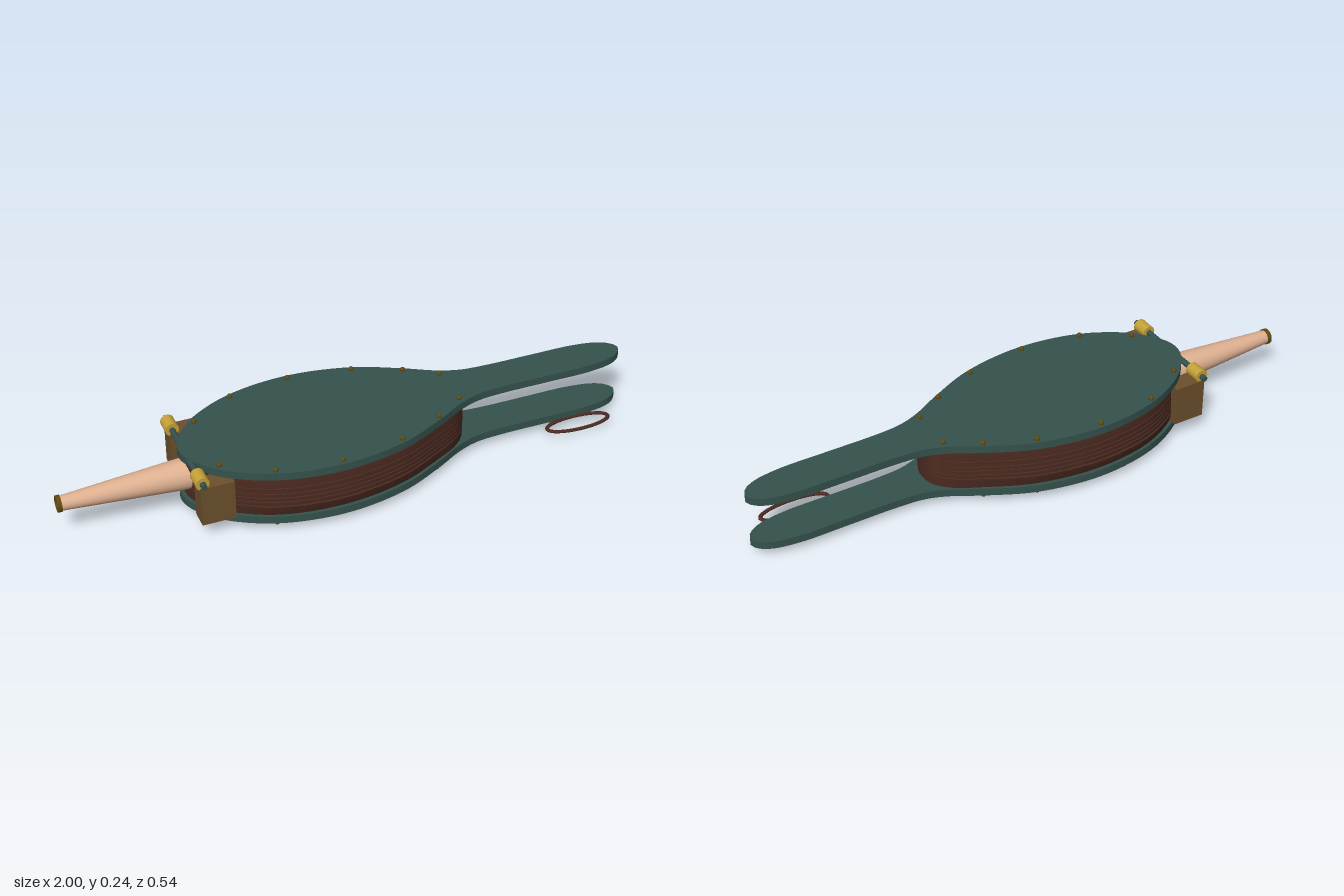
import * as THREE from 'three';
import { toCreasedNormals } from 'three/addons/utils/BufferGeometryUtils.js';

const mat = (name, color, side = THREE.FrontSide) => {
  const m = new THREE.MeshStandardMaterial({ color, side });
  m.name = name;
  return m;
};

// Smooth closed loop mirrored about z = 0; half is [x, z] from tip to tail on the axis
function mirroredLoop(half, count) {
  const other = half.slice(1, -1).reverse().map(([x, z]) => [x, -z]);
  const pts = [...half, ...other].map(([x, z]) => new THREE.Vector3(x, z, 0));
  return new THREE.CatmullRomCurve3(pts, true, 'centripetal').getSpacedPoints(count).slice(0, count);
}

export function createModel() {
  const group = new THREE.Group();
  const teal = mat('teal paint', 0x35524d);
  const leather = mat('brown leather', 0x4c2b21, THREE.DoubleSide);
  const strap = mat('dark leather', 0x4a2a23);
  const nozzleWood = mat('pale nozzle', 0xdeb091, THREE.DoubleSide);
  const blockWood = mat('hinge block brown', 0x6c502d);
  const gold = mat('gold', 0xc6a238);
  const brass = mat('dark brass', 0x604a12, THREE.DoubleSide);

  const add = (name, geo, material, x = 0, y = 0, z = 0) => {
    const mesh = new THREE.Mesh(geo, material);
    mesh.name = name;
    mesh.position.set(x, y, z);
    group.add(mesh);
    return mesh;
  };

  // Two paddle-shaped boards
  const boardHalf = [
    [-0.595, 0], [-0.583, 0.05], [-0.55, 0.1], [-0.49, 0.16], [-0.345, 0.235], [-0.13, 0.268],
    [0.09, 0.234], [0.25, 0.162], [0.355, 0.104], [0.43, 0.078], [0.52, 0.07], [0.7, 0.069],
    [0.86, 0.067], [0.95, 0.05], [0.988, 0.025], [1.0, 0],
  ];
  const boardShape = new THREE.Shape(mirroredLoop(boardHalf, 160).map(p => new THREE.Vector2(p.x, p.y)));
  const boardGeo = toCreasedNormals(
    new THREE.ExtrudeGeometry(boardShape, { depth: 0.027, bevelEnabled: false }).rotateX(-Math.PI / 2), 0.5);
  add('topBoard', boardGeo, teal, 0, 0.206, 0);
  add('bottomBoard', boardGeo, teal, 0, 0.034, 0);

  // Pleated leather wall lofted between the boards: [height, outward widening]
  const wallHalf = [
    [-0.58, 0], [-0.562, 0.065], [-0.5, 0.135], [-0.345, 0.222], [-0.13, 0.253], [0.09, 0.22],
    [0.25, 0.15], [0.34, 0.1], [0.385, 0.05], [0.395, 0],
  ];
  const levels = [
    [0.06, 0.002], [0.085, 0.012], [0.1, 0.017], [0.101, 0.011], [0.115, 0.012], [0.116, 0.009],
    [0.13, 0.01], [0.131, 0.007], [0.145, 0.008], [0.146, 0.005], [0.165, 0.006], [0.166, 0.003],
    [0.185, 0.003], [0.206, 0],
  ];
  const loop = mirroredLoop(wallHalf, 120);
  const n = loop.length, pos = [], idx = [];
  levels.forEach(([y, out], j) => {
    loop.forEach((p, i) => {
      pos.push(p.x, y, p.y * (1 + out / 0.253));
      if (j === 0) return;
      const a = (j - 1) * n + i, b = (j - 1) * n + (i + 1) % n;
      idx.push(a, b, a + n, b, b + n, a + n);
    });
  });
  const wall = new THREE.BufferGeometry();
  wall.setAttribute('position', new THREE.Float32BufferAttribute(pos, 3));
  wall.setIndex(idx);
  add('leatherWall', toCreasedNormals(wall, 0.4), leather);

  // Tapered nozzle and its tip ring, pointing along -x
  const lathe = pts => new THREE.LatheGeometry(pts.map(([r, h]) => new THREE.Vector2(r, h)), 32).rotateZ(Math.PI / 2);
  add('nozzle', lathe([[0.054, 0.55], [0.052, 0.6], [0.024, 0.995]]), nozzleWood, 0, 0.137, 0);
  add('nozzleRing', toCreasedNormals(
    lathe([[0.024, 0.986], [0.028, 0.986], [0.028, 1], [0.018, 1], [0.016, 0.97], [0, 0.97]]), 0.6), brass, 0, 0.137, 0);

  // Hinge: rod, barrels and blocks on both sides
  const rodGeo = new THREE.CylinderGeometry(0.01, 0.01, 0.41, 16).rotateX(Math.PI / 2);
  add('hingeRod', rodGeo, teal, -0.574, 0.222, 0);
  const barrelGeo = new THREE.CylinderGeometry(0.023, 0.023, 0.058, 24).rotateX(Math.PI / 2);
  const blockGeo = new THREE.BoxGeometry(0.113, 0.142, 0.066);
  for (const s of [1, -1]) {
    add('hingeBarrel', barrelGeo, gold, -0.574, 0.222, s * 0.157);
    add('hingeBlock', blockGeo, blockWood, -0.527, 0.135, s * 0.157);
  }

  // Studs around both boards
  const studGeo = new THREE.SphereGeometry(0.009, 14, 10);
  const studs = [[-0.5, 0.127], [-0.345, 0.22], [-0.13, 0.25], [0.09, 0.217], [0.25, 0.147], [0.355, 0.079]];
  for (const [x, z] of studs) for (const s of [1, -1]) for (const y of [0.237, 0.03]) {
    add('stud', studGeo, brass, x, y, s * z);
  }

  // Hanging valve flap with its pin under the bottom board
  const flap = add('valveFlap', new THREE.CylinderGeometry(0.037, 0.037, 0.004, 24), strap, -0.14, 0.0145, 0);
  flap.rotation.x = -0.3;
  const pinGeo = new THREE.CylinderGeometry(0.006, 0.006, 0.07, 12).rotateZ(Math.PI / 2);
  add('valvePin', pinGeo, teal, -0.14, 0.028, -0.038);

  // Oval hanging loop by the lower handle
  const loopPath = new THREE.CatmullRomCurve3(Array.from({ length: 24 }, (_, i) => {
    const a = i / 24 * Math.PI * 2;
    return new THREE.Vector3(Math.cos(a) * 0.117, 0, Math.sin(a) * 0.037);
  }), true);
  const loopMesh = add('hangingLoop', new THREE.TubeGeometry(loopPath, 64, 0.007, 10, true), strap, 0.804, 0.033, 0.105);
  loopMesh.scale.y = 0.75;
  add('loopStud', studGeo, brass, 0.725, 0.03, 0.062);

  return group;
}
